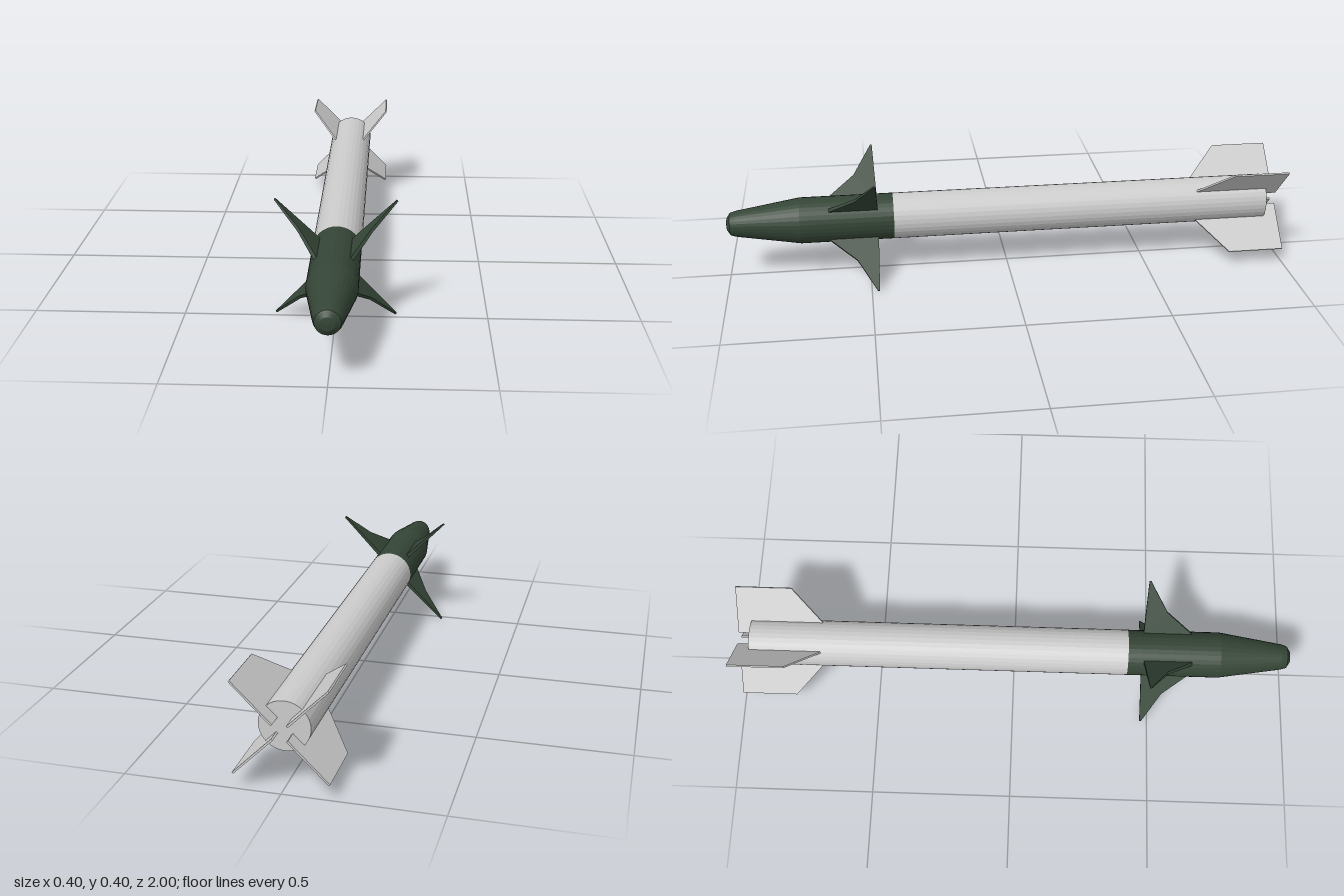
import * as THREE from 'three';

const grey = new THREE.MeshStandardMaterial({ color: 0xcccccc, flatShading: true });
const green = new THREE.MeshStandardMaterial({ color: 0x344536, flatShading: true });

// Solid of revolution along z; profile is [radius, z] from back to front
function turned(name, profile, material) {
  const geometry = new THREE.LatheGeometry(profile.map(([r, z]) => new THREE.Vector2(r, z)), 32);
  geometry.rotateX(Math.PI / 2);
  const mesh = new THREE.Mesh(geometry, material);
  mesh.name = name;
  return mesh;
}

// Thin fin from a [radius, z] outline, tapering in thickness from root to tip
function finGeometry(outline, rootThickness, tipThickness) {
  const shape = new THREE.Shape(outline.map(([r, z]) => new THREE.Vector2(r, z)));
  const geometry = new THREE.ExtrudeGeometry(shape, { depth: 1, bevelEnabled: false });
  geometry.translate(0, 0, -0.5);
  const radii = outline.map(([r]) => r);
  const root = Math.min(...radii), tip = Math.max(...radii);
  const p = geometry.attributes.position;
  for (let i = 0; i < p.count; i++) {
    const t = (p.getX(i) - root) / (tip - root);
    p.setZ(i, p.getZ(i) * THREE.MathUtils.lerp(rootThickness, tipThickness, t));
  }
  geometry.rotateX(Math.PI / 2);
  geometry.computeVertexNormals();
  return geometry;
}

// Four fins in an X around the body
function finSet(name, geometry, material) {
  const group = new THREE.Group();
  group.name = name + 's';
  for (let i = 0; i < 4; i++) {
    const fin = new THREE.Mesh(geometry, material);
    fin.name = name;
    fin.rotation.z = Math.PI / 4 + i * Math.PI / 2;
    group.add(fin);
  }
  return group;
}

export function createModel() {
  const model = new THREE.Group();
  model.name = 'missile';
  const R = 0.082;

  // Long motor tube with a closed tail
  model.add(turned('motorTube', [[0, -0.95], [R, -0.95], [R, 0.41]], grey));

  // Guidance section, tapered nose and rounded tip
  model.add(turned('noseSection', [
    [R, 0.41], [R, 0.74], [0.046, 0.965], [0.04, 0.985], [0.022, 0.997], [0, 1],
  ], green));

  // Cranked, pointed steering fins
  model.add(finSet('steeringFin', finGeometry([
    [0.06, 0.465], [0.28, 0.473], [0.28, 0.479], [0.163, 0.545], [0.06, 0.663],
  ], 0.014, 0.006), green));

  // Tail fins that overhang the end of the tube
  model.add(finSet('tailFin', finGeometry([
    [0.033, -1], [0.212, -1], [0.212, -0.8], [0.082, -0.692], [0.033, -0.692],
  ], 0.007, 0.006), grey));

  model.position.y = 0.2;
  const root = new THREE.Group();
  root.add(model);
  return root;
}
